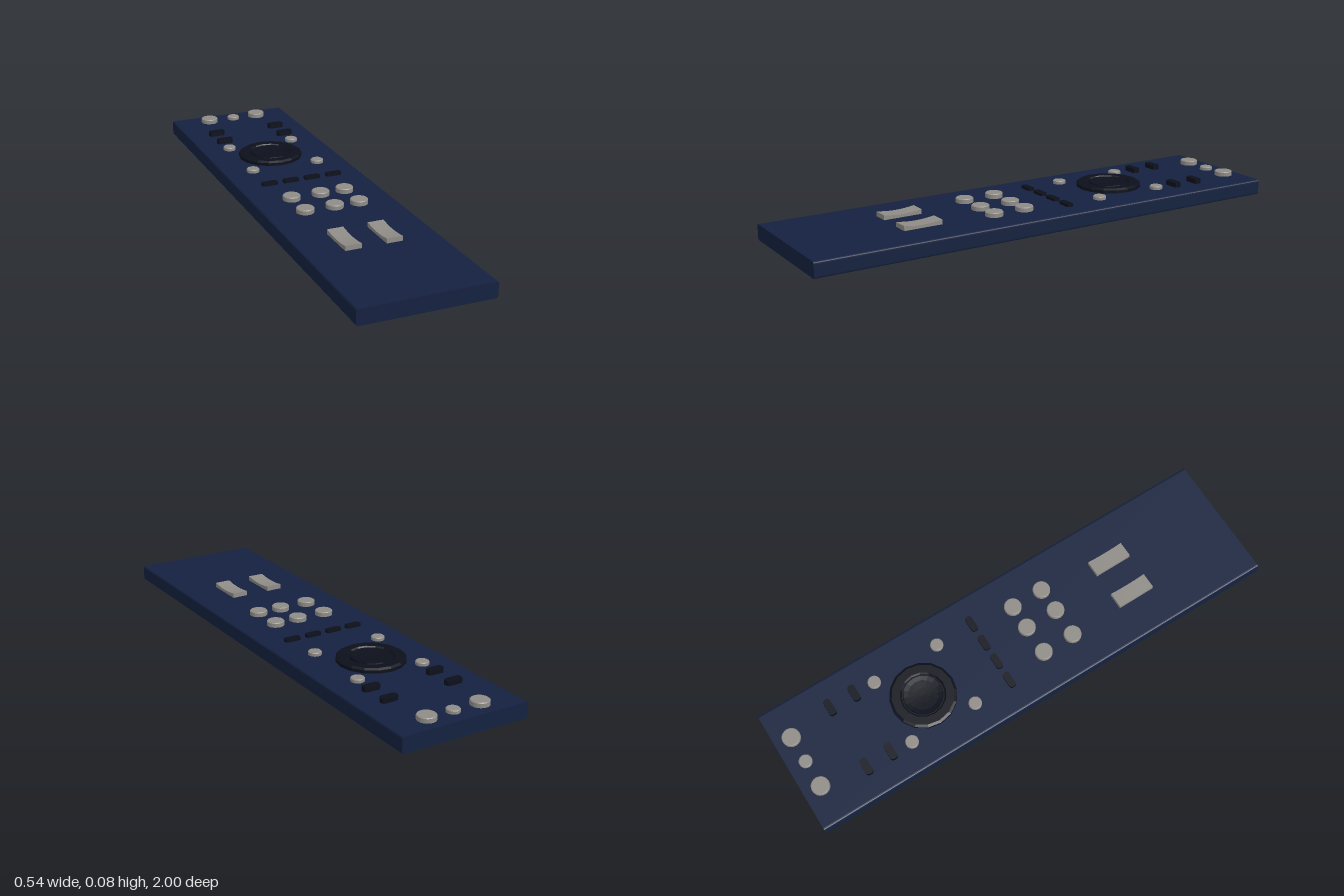
import * as THREE from 'three';

const navy = new THREE.MeshStandardMaterial({ color: 0x14213f });
const grey = new THREE.MeshStandardMaterial({ color: 0x8f8c87, flatShading: true });
const dark = new THREE.MeshStandardMaterial({ color: 0x0c101b, flatShading: true });
navy.flatShading = true;

const TOP = 0.062; // height of the keypad surface

function roundedRect(w, h, r) {
  const s = new THREE.Shape();
  const x = w / 2, y = h / 2;
  s.moveTo(-x + r, -y);
  s.lineTo(x - r, -y);
  s.quadraticCurveTo(x, -y, x, -y + r);
  s.lineTo(x, y - r);
  s.quadraticCurveTo(x, y, x - r, y);
  s.lineTo(-x + r, y);
  s.quadraticCurveTo(-x, y, -x, y - r);
  s.lineTo(-x, -y + r);
  s.quadraticCurveTo(-x, -y, -x + r, -y);
  return s;
}

const lathe = (points, sides) =>
  new THREE.LatheGeometry(points.map(([r, y]) => new THREE.Vector2(r, y)), sides);

export function createModel() {
  const group = new THREE.Group();
  const add = (name, geometry, material, x, y, z) => {
    const mesh = new THREE.Mesh(geometry, material);
    mesh.name = name;
    mesh.position.set(x, y, z);
    group.add(mesh);
    return mesh;
  };

  // Long slab with softened long edges, lying a touch askew
  const slab = new THREE.ExtrudeGeometry(roundedRect(0.522, TOP, 0.009),
    { depth: 1.996, bevelEnabled: false, curveSegments: 4 });
  slab.translate(0, 0, -0.998);
  add('body', slab, navy, 0, TOP / 2, 0).rotation.y = -0.007;

  // Round keys with a small chamfer
  const roundKey = (name, x, z, r, h) => add(name, lathe(
    [[r, -0.005], [r, h - 0.003], [r - 0.003, h], [0, h]], 20), grey, x, TOP, z);
  roundKey('topKey', -0.102, -0.928, 0.036, 0.019);
  roundKey('topSmallKey', 0.012, -0.928, 0.026, 0.014);
  roundKey('topKey', 0.122, -0.928, 0.036, 0.019);
  for (const z of [-0.55, -0.266])
    for (const x of [-0.141, 0.142]) roundKey('cornerKey', x, z, 0.026, 0.014);
  for (const z of [0.07, 0.205])
    for (const x of [-0.109, 0.012, 0.114]) roundKey('numberKey', x, z, 0.035, 0.019);

  // Dark pill-shaped keys
  const pill = (name, x, z, w, d, h) => {
    const g = new THREE.ExtrudeGeometry(roundedRect(w, d, d * 0.42),
      { depth: h + 0.005, bevelEnabled: false, curveSegments: 4 });
    g.rotateX(-Math.PI / 2);
    add(name, g, dark, x, TOP - 0.005, z);
  };
  for (const z of [-0.745, -0.638])
    for (const x of [-0.131, 0.145]) pill('sideKey', x, z, 0.068, 0.03, 0.019);
  for (const x of [-0.132, -0.041, 0.05, 0.143]) pill('rowKey', x, -0.105, 0.066, 0.028, 0.011);

  // Navigation ring and dished centre button
  add('navigationRing', lathe([[0.132, -0.005], [0.132, 0.012], [0.122, 0.018],
    [0.09, 0.018], [0.084, 0.012], [0.084, -0.005]], 16), dark, -0.006, TOP, -0.418);
  add('centreButton', lathe([[0.084, 0.008], [0.079, 0.008], [0.077, 0.017],
    [0.06, 0.014], [0.03, 0.012], [0, 0.011]], 16), dark, -0.006, TOP, -0.418);

  // Rocker keys with a hollowed top
  for (const x of [-0.085, 0.077]) {
    const g = new THREE.BoxGeometry(0.064, 0.024, 0.158, 1, 1, 8);
    const p = g.attributes.position;
    for (let i = 0; i < p.count; i++) {
      const t = p.getZ(i) / 0.079;
      if (p.getY(i) > 0) p.setY(i, 0.005 + 0.007 * t * t);
    }
    g.computeVertexNormals();
    add('rockerKey', g, grey, x, TOP + 0.007, 0.504);
  }

  return group;
}
